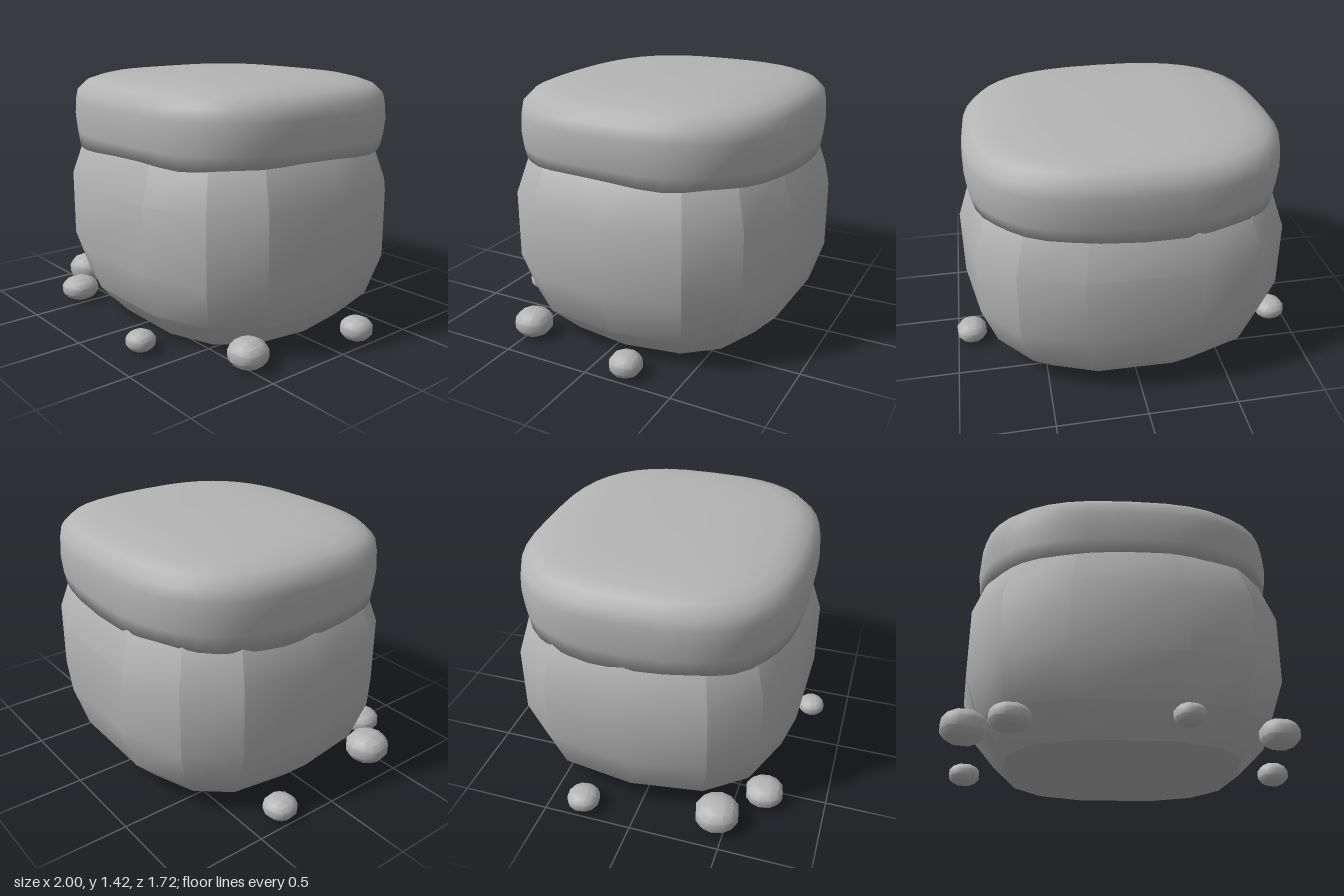
import * as THREE from 'three';
import { mergeVertices, toCreasedNormals } from 'three/addons/utils/BufferGeometryUtils.js';

const CENTRE_Z = -0.04;

// Skin a stack of closed rings (arrays of [x, y, z]) and close both ends.
function loft(rings) {
  const n = rings[0].length, pos = [], index = [];
  rings.forEach(r => r.forEach(p => pos.push(...p)));
  for (let i = 0; i < rings.length - 1; i++) {
    for (let j = 0; j < n; j++) {
      const a = i * n + j, b = i * n + (j + 1) % n;
      index.push(a, a + n, b, b, a + n, b + n);
    }
  }
  const last = (rings.length - 1) * n, bottom = rings.length * n;
  pos.push(0, rings[0][0][1], CENTRE_Z, 0, rings.at(-1)[0][1], CENTRE_Z);
  for (let j = 0; j < n; j++) {
    const k = (j + 1) % n;
    index.push(bottom, j, k, bottom + 1, last + k, last + j);
  }
  const g = new THREE.BufferGeometry();
  g.setAttribute('position', new THREE.Float32BufferAttribute(pos, 3));
  g.setIndex(index);
  g.computeVertexNormals();
  return g;
}

// Faceted barrel body: one plan outline scaled at each height
function bodyGeometry() {
  const outline = [
    [0.915, -0.05], [0.85, 0.4], [0.66, 0.64], [0.3, 0.768], [-0.3, 0.762], [-0.66, 0.63], [-0.85, 0.39],
    [-0.915, -0.05], [-0.85, -0.5], [-0.645, -0.74], [-0.3, -0.86], [0.3, -0.85], [0.64, -0.72], [0.84, -0.48],
  ];
  const profile = [[0.73, 0.02], [0.908, 0.18], [1, 0.42], [1, 0.8], [0.91, 1.03], [0.75, 1.2]];
  return toCreasedNormals(loft(profile.map(([s, y]) =>
    outline.map(([x, z]) => [x * s, y, CENTRE_Z + (z - CENTRE_Z) * s]))), 0.47);
}

// Soft puffy lid: rounded-square rings with an uneven lower rim
function lidGeometry() {
  const N = 40, e = 2 / 2.75;
  const profile = [
    [0.88, 1.05, 0], [0.975, 1.0, 1], [0.99, 1.08, 0.3], [1, 1.17, 0], [0.995, 1.25, 0], [0.98, 1.315, 0],
    [0.92, 1.365, 0], [0.84, 1.39, 0], [0.75, 1.408, 0], [0.55, 1.425, 0], [0.25, 1.432, 0],
  ];
  const bend = v => Math.sign(v) * Math.abs(v) ** e;
  return loft(profile.map(([s, y, wave]) => Array.from({ length: N }, (_, j) => {
    const a = j / N * Math.PI * 2;
    const dy = wave * (0.022 * Math.cos(a) + 0.008 * Math.sin(a * 5) + 0.006 * Math.sin(a * 9 + 1));
    return [0.867 * s * bend(Math.cos(a)), y + dy, CENTRE_Z + 0.787 * s * bend(Math.sin(a))];
  })));
}

// Low-poly pebble: a divided cube pushed out to a ball
function pebbleGeometry() {
  let g = new THREE.BoxGeometry(2, 2, 2, 3, 3, 3);
  g.deleteAttribute('uv');
  g.deleteAttribute('normal');
  const p = g.attributes.position, v = new THREE.Vector3();
  for (let i = 0; i < p.count; i++) {
    v.fromBufferAttribute(p, i).normalize();
    p.setXYZ(i, v.x, v.y, v.z);
  }
  g = mergeVertices(g);
  return toCreasedNormals(g, 0.6);
}

export function createModel() {
  const model = new THREE.Group();
  const stone = new THREE.MeshStandardMaterial({ color: 0xb4b4b4 });
  stone.name = 'stone grey';
  const add = (geometry, name) => {
    const mesh = new THREE.Mesh(geometry, stone);
    mesh.name = name;
    model.add(mesh);
    return mesh;
  };

  add(bodyGeometry(), 'body');
  add(lidGeometry(), 'lid');

  // Pebbles around the foot: x, z, radius, height, yaw
  const pebble = pebbleGeometry();
  [
    [-0.915, -0.3, 0.095, 0.13, 0.15],
    [-0.83, 0.45, 0.127, 0.19, 0.25],
    [-0.58, 0.66, 0.112, 0.15, 0.2],
    [0.28, 0.785, 0.083, 0.12, 0.3],
    [0.79, 0.475, 0.11, 0.165, 0.1],
    [0.915, -0.2, 0.092, 0.14, 0.1],
  ].forEach(([x, z, r, h, yaw], i) => {
    const m = add(pebble, `pebble${i + 1}`);
    m.position.set(x, 0.01 + h / 2, z);
    m.scale.set(r, h / 2, r);
    m.rotation.y = yaw;
  });
  return model;
}
